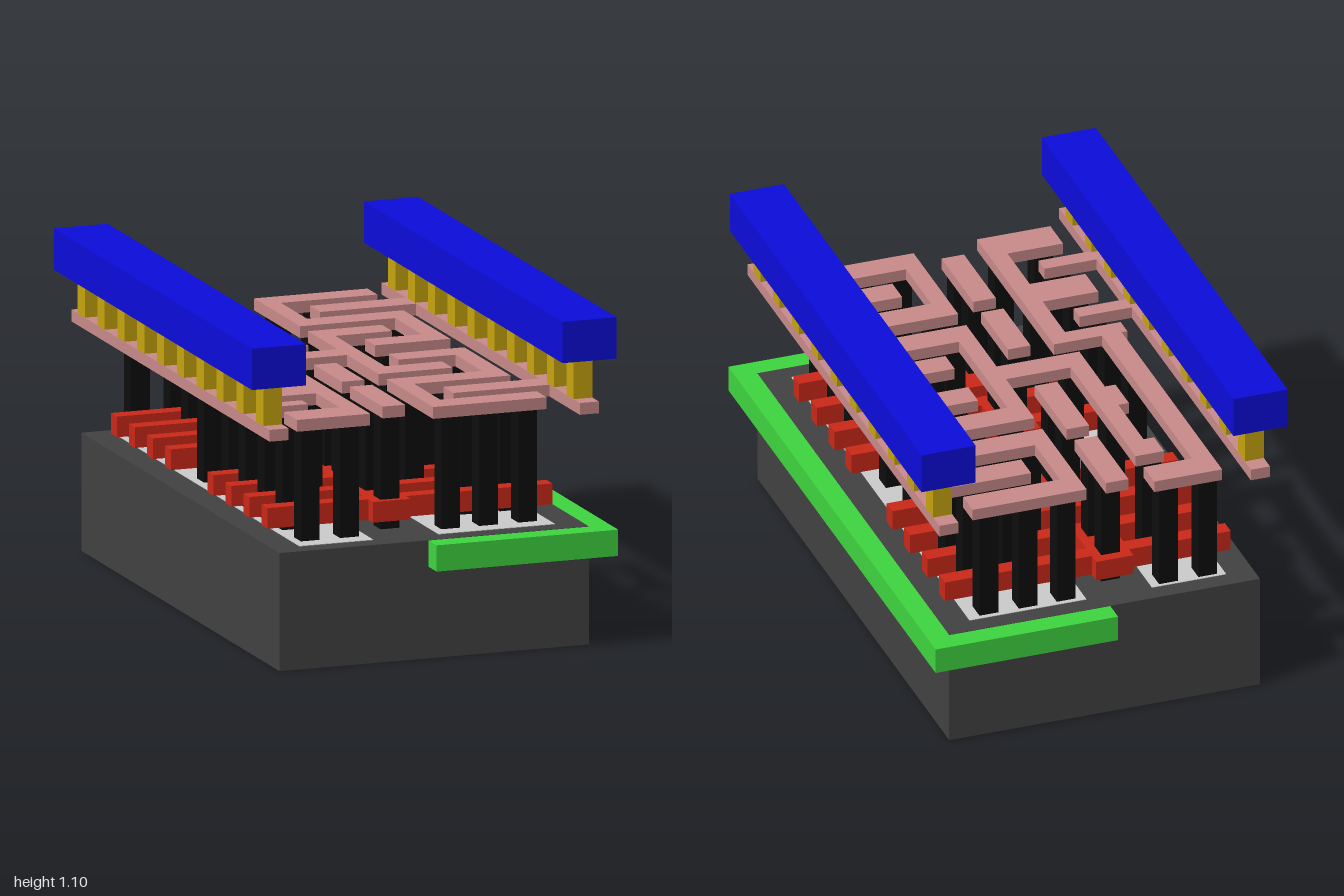
import * as THREE from 'three';

const mat = (color) => new THREE.MeshStandardMaterial({ color });
const MATS = {
  substrate: mat(0x424242), well: mat(0x3fd63f), diffusion: mat(0xcccccc), gate: mat(0xcc2818),
  contact: mat(0x0d0d0d), metal: mat(0xca8a8a), via: mat(0xc8a50f), power: mat(0x0c0cdc),
};

export function createModel() {
  const model = new THREE.Group();
  const group = (name) => {
    const g = new THREE.Group();
    g.name = name;
    model.add(g);
    return g;
  };
  // Box given by its limits on each axis
  const box = (parent, name, m, x0, x1, y0, y1, z0, z1) => {
    const mesh = new THREE.Mesh(new THREE.BoxGeometry(x1 - x0, y1 - y0, z1 - z0), MATS[m]);
    mesh.position.set((x0 + x1) / 2, (y0 + y1) / 2, (z0 + z1) / 2);
    mesh.name = name;
    parent.add(mesh);
  };

  // Base block, well slab and the two thin active strips
  box(model, 'substrate', 'substrate', -0.545, 0.545, 0, 0.4, -0.925, 0.925);
  box(model, 'well', 'well', -0.02, 0.62, 0.31, 0.399, -1, 1);
  box(model, 'leftActiveStrip', 'diffusion', 0.04, 0.45, 0.39, 0.402, -0.86, 0.86);
  box(model, 'rightActiveStrip', 'diffusion', -0.45, -0.19, 0.39, 0.402, -0.86, 0.86);

  // Gate bars with a pad joining each pair
  const gates = group('gates');
  for (const z of [-0.73, -0.565, -0.395, -0.226, 0.17, 0.335, 0.505, 0.675])
    box(gates, 'gateBar', 'gate', -0.503, 0.5, 0.43, 0.5, z - 0.028, z + 0.028);
  for (const [z0, z1] of [[-0.8, -0.545], [-0.43, -0.16], [0.1, 0.36], [0.43, 0.745]])
    box(gates, 'gatePad', 'gate', -0.147, -0.016, 0.43, 0.5, z0, z1);

  // Contact pillars, listed as x followed by the z of each pillar
  const contacts = group('contacts');
  const columns = [
    [-0.39, [-0.815, -0.135, 0.093, 0.25, 0.43, 0.595, 0.768]],
    [-0.252, [-0.815, -0.65, -0.305, 0.093, 0.43, 0.768]],
    [-0.08, [-0.73, -0.6, -0.35, -0.215, 0.17, 0.3, 0.55, 0.69]],
    [0.105, [-0.81, -0.475, -0.305, 0.25, 0.43, 0.768]],
    [0.238, [-0.81, -0.65, -0.475, -0.305, -0.133, 0.093, 0.25, 0.43, 0.595, 0.768]],
    [0.376, [-0.81, -0.65, -0.475, -0.133, 0.093, 0.43, 0.595, 0.768]],
  ];
  const h = 0.033;
  for (const [x, zs] of columns)
    for (const z of zs) box(contacts, 'contactPillar', 'contact', x - h, x + h, 0.4, 0.78, z - h, z + h);

  // Wiring layer: straight pieces as [x0, x1, z0, z1]
  const wiring = {
    rightLoopWire: [
      [-0.425, -0.187, -0.89, -0.787], [-0.425, -0.356, -0.787, 0.08], [-0.445, -0.187, 0.08, 0.145],
      [-0.25, -0.187, 0.145, 0.823], [-0.445, -0.25, 0.36, 0.485], [-0.445, -0.25, 0.7, 0.823],
    ],
    outputWire: [
      [-0.25, -0.187, -0.71, 0.007], [-0.287, -0.25, -0.71, -0.613], [-0.287, -0.25, -0.37, -0.24],
      [-0.187, 0.04, -0.083, 0.007], [0.04, 0.1, -0.358, 0.3],
      [0.1, 0.3, -0.358, -0.263], [0.1, 0.3, 0.203, 0.3],
    ],
    backLoopWire: [
      [0.04, 0.44, -0.862, -0.77], [0.04, 0.1, -0.77, -0.433], [0.1, 0.44, -0.528, -0.433],
      [0.375, 0.44, -0.433, -0.09], [0.175, 0.375, -0.185, -0.09],
    ],
    frontLoopWire: [
      [0.04, 0.44, 0.715, 0.808], [0.04, 0.1, 0.378, 0.715], [0.1, 0.44, 0.378, 0.473],
      [0.375, 0.44, 0.04, 0.378], [0.175, 0.375, 0.04, 0.13],
    ],
    inputStrip: [
      [-0.113, -0.034, -0.845, -0.54], [-0.113, -0.034, -0.465, -0.157],
      [-0.113, -0.034, 0.1, 0.362], [-0.113, -0.034, 0.436, 0.743],
    ],
    leftSupplyRail: [
      [0.513, 0.58, -0.925, 0.925], [0.175, 0.513, -0.698, -0.602], [0.175, 0.513, 0.547, 0.642],
    ],
    rightSupplyRail: [
      [-0.58, -0.513, -0.925, 0.925], [-0.513, -0.33, 0.224, 0.282], [-0.513, -0.33, 0.563, 0.621],
    ],
  };
  for (const [name, pieces] of Object.entries(wiring)) {
    const g = group(name);
    for (const [x0, x1, z0, z1] of pieces) box(g, name + 'Piece', 'metal', x0, x1, 0.78, 0.82, z0, z1);
  }

  // Power beams carried on rows of vias
  for (const s of [-1, 1]) {
    const g = group(s > 0 ? 'leftPowerLine' : 'rightPowerLine');
    const xb = s * 0.547, xv = s * 0.547;
    box(g, 'powerBeam', 'power', xb - 0.095, xb + 0.095, 0.96, 1.1, -0.925, 0.925);
    for (let i = 0; i < 10; i++) {
      const z = (i - 4.5) * 0.185;
      box(g, 'via', 'via', xv - h, xv + h, 0.82, 0.96, z - h, z + h);
    }
  }
  return model;
}
